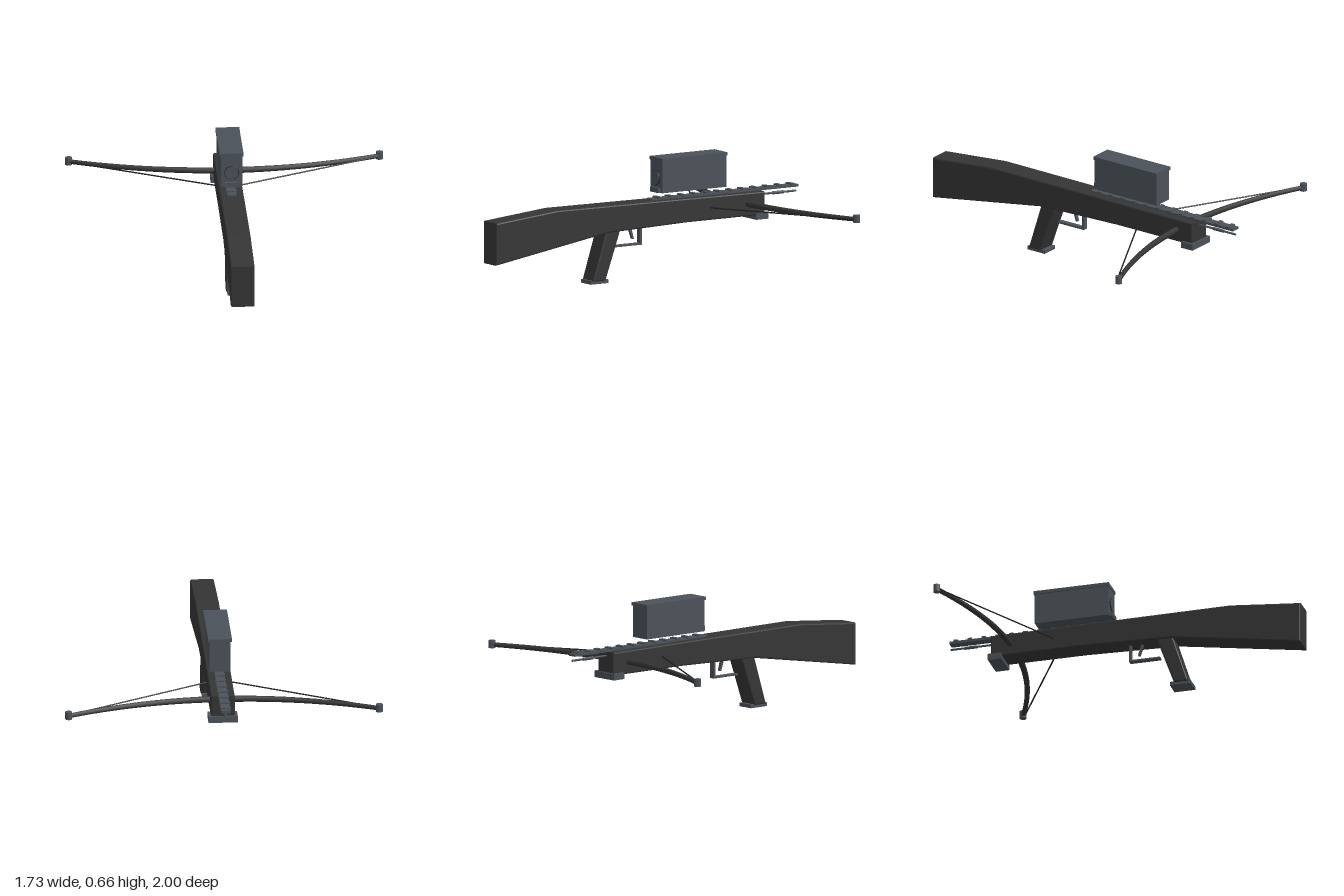
import * as THREE from 'three';

export function createModel() {
  const model = new THREE.Group();
  model.name = 'crossbow';

  const mat = (name, color) => {
    const m = new THREE.MeshStandardMaterial({ color });
    m.name = name;
    return m;
  };
  const black = mat('black polymer', 0x353535);
  const steel = mat('blue grey steel', 0x4b5259);
  const dark = mat('dark cord', 0x232323);

  const add = (name, geometry, material, x = 0, y = 0, z = 0) => {
    const mesh = new THREE.Mesh(geometry, material);
    mesh.name = name;
    mesh.position.set(x, y, z);
    model.add(mesh);
    return mesh;
  };
  // Box given by its width and its y and z ranges
  const box = (name, material, w, y0, y1, z0, z1, x = 0) =>
    add(name, new THREE.BoxGeometry(w, y1 - y0, z1 - z0), material, x, (y0 + y1) / 2, (z0 + z1) / 2);
  // Side profile of [z, y] points, extruded across x with a small bevel
  const slab = (name, material, points, width, bevel) => {
    const shape = new THREE.Shape(points.map(p => new THREE.Vector2(p[0], p[1])));
    const depth = width - 2 * bevel;
    const g = new THREE.ExtrudeGeometry(shape, {
      depth, bevelEnabled: bevel > 0, bevelThickness: bevel, bevelSize: bevel,
      bevelOffset: -bevel, bevelSegments: 2,
    });
    g.translate(0, 0, -depth / 2);
    g.rotateY(-Math.PI / 2);
    return add(name, g, material);
  };
  const rod = (name, material, r, a, b, sides = 8) => {
    const from = new THREE.Vector3(...a), to = new THREE.Vector3(...b);
    const dir = to.clone().sub(from);
    const mesh = add(name, new THREE.CylinderGeometry(r, r, dir.length(), sides), material);
    mesh.position.copy(from).add(to).multiplyScalar(0.5);
    mesh.quaternion.setFromUnitVectors(new THREE.Vector3(0, 1, 0), dir.normalize());
    return mesh;
  };

  // Stock and fore-end in one piece
  slab('stock', black, [
    [1, 0.16], [1, 0.393], [0.6, 0.43], [-0.25, 0.424], [-0.755, 0.42],
    [-0.755, 0.292], [-0.25, 0.292], [0.27, 0.278],
  ], 0.13, 0.008);

  // Pistol grip and base
  slab('grip', black, [[0.36, 0.015], [0.27, 0.3], [0.18, 0.3], [0.19, 0.26], [0.278, 0.015]], 0.11, 0.008);
  box('gripBase', steel, 0.095, 0, 0.02, 0.255, 0.372);

  // Trigger and guard
  box('guardBottom', steel, 0.03, 0.186, 0.196, 0.015, 0.19);
  box('guardFront', steel, 0.03, 0.186, 0.29, 0.015, 0.027);
  slab('trigger', steel, [[0.095, 0.285], [0.081, 0.285], [0.064, 0.222], [0.074, 0.222]], 0.018, 0);

  // Nose bracket under the bow
  box('noseBracket', steel, 0.16, 0.27, 0.306, -0.767, -0.69);

  // Top rail with cross teeth
  box('rail', steel, 0.05, 0.42, 0.434, -1, -0.04);
  for (let i = 0; i < 12; i++) {
    const z = -0.095 - i * 0.079;
    box('railTooth', steel, 0.057, 0.428, 0.441, z - 0.012, z + 0.012);
  }

  // Bolt beneath the rail
  rod('boltShaft', steel, 0.006, [0, 0.395, -0.7], [0, 0.395, -1]);
  rod('boltCollar', steel, 0.009, [0, 0.395, -0.85], [0, 0.395, -0.92]);

  // Sight housing with lid and rear details
  box('sightHousing', steel, 0.116, 0.465, 0.642, -0.507, -0.09);
  box('sightLid', steel, 0.13, 0.638, 0.656, -0.512, -0.086);
  const ring = add('eyepieceRim', new THREE.TorusGeometry(0.037, 0.003, 6, 28), dark, 0, 0.545, -0.086);
  ring.scale.z = 0.8;
  add('eyepiece', new THREE.CylinderGeometry(0.036, 0.036, 0.01, 28).rotateX(Math.PI / 2), steel, 0, 0.545, -0.086);
  box('sightFoot', steel, 0.08, 0.465, 0.492, -0.1, -0.073);

  // Bow: a swept tube thinned toward the tips
  const bowZ = x => -0.645 - 0.19 * Math.pow(Math.abs(x) / 0.85, 2);
  const path = [];
  for (let i = -10; i <= 10; i++) path.push(new THREE.Vector3(i * 0.085, 0.36, bowZ(i * 0.085)));
  const curve = new THREE.CatmullRomCurve3(path);
  const sides = 10, steps = 60;
  const bow = new THREE.TubeGeometry(curve, steps, 0.018, sides, false);
  const pos = bow.attributes.position;
  const v = new THREE.Vector3();
  for (let i = 0; i <= steps; i++) {
    const c = curve.getPointAt(i / steps);
    const s = 1 - 0.3 * Math.abs(c.x) / 0.85;
    for (let j = 0; j <= sides; j++) {
      const k = i * (sides + 1) + j;
      v.fromBufferAttribute(pos, k).sub(c).multiplyScalar(s).add(c);
      pos.setXYZ(k, v.x, v.y, v.z);
    }
  }
  bow.computeVertexNormals();
  add('bow', bow, black);

  // Tip caps and drawn string on both sides
  for (const s of [-1, 1]) {
    add('tipCap', new THREE.CylinderGeometry(0.019, 0.019, 0.042, 14), steel, s * 0.847, 0.363, -0.834);
    rod('string', dark, 0.004, [s * 0.845, 0.36, -0.822], [0, 0.36, -0.366], 6);
  }

  return model;
}
